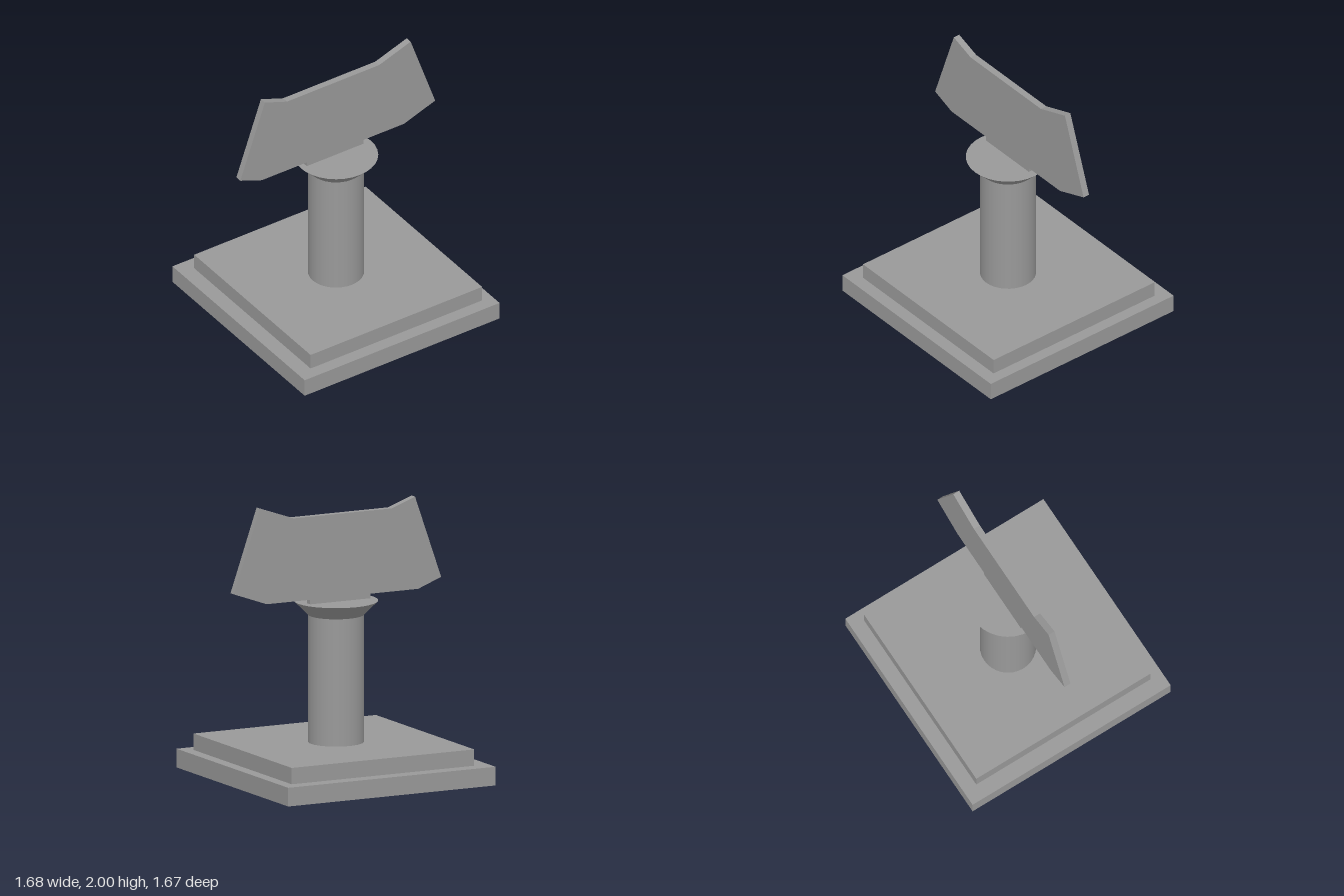
import * as THREE from 'three';

export function createModel() {
  const model = new THREE.Group();
  const grey = new THREE.MeshStandardMaterial({ color: 0x999999 });
  grey.name = 'grey';

  const add = (name, geometry, x, y, z) => {
    const mesh = new THREE.Mesh(geometry, grey);
    mesh.name = name;
    mesh.position.set(x, y, z);
    model.add(mesh);
  };

  // Stepped square base
  add('lowerBase', new THREE.BoxGeometry(1.67, 0.135, 1.67), -0.01, 0.0675, 0);
  add('upperBase', new THREE.BoxGeometry(1.47, 0.118, 1.47), 0.005, 0.194, 0.005);

  // Round column with a flared capital
  add('column', new THREE.CylinderGeometry(0.2, 0.2, 0.92, 32), -0.01, 0.712, 0);
  add('capital', new THREE.CylinderGeometry(0.3, 0.2, 0.1, 32), -0.01, 1.222, 0);

  // Upright plate with flared ends and a foot tab
  const outline = [
    [-0.26, 1.27], [0.225, 1.27], [0.225, 1.305], [0.575, 1.305],
    [0.84, 1.4], [0.63, 2], [0.36, 1.905], [-0.43, 1.905],
    [-0.62, 1.973], [-0.83, 1.375], [-0.645, 1.305], [-0.26, 1.305],
  ].map(([x, y]) => new THREE.Vector2(x, y));
  add('signPlate', new THREE.ExtrudeGeometry(new THREE.Shape(outline), {
    depth: 0.05, bevelEnabled: false,
  }), 0, 0, -0.05);

  return model;
}
